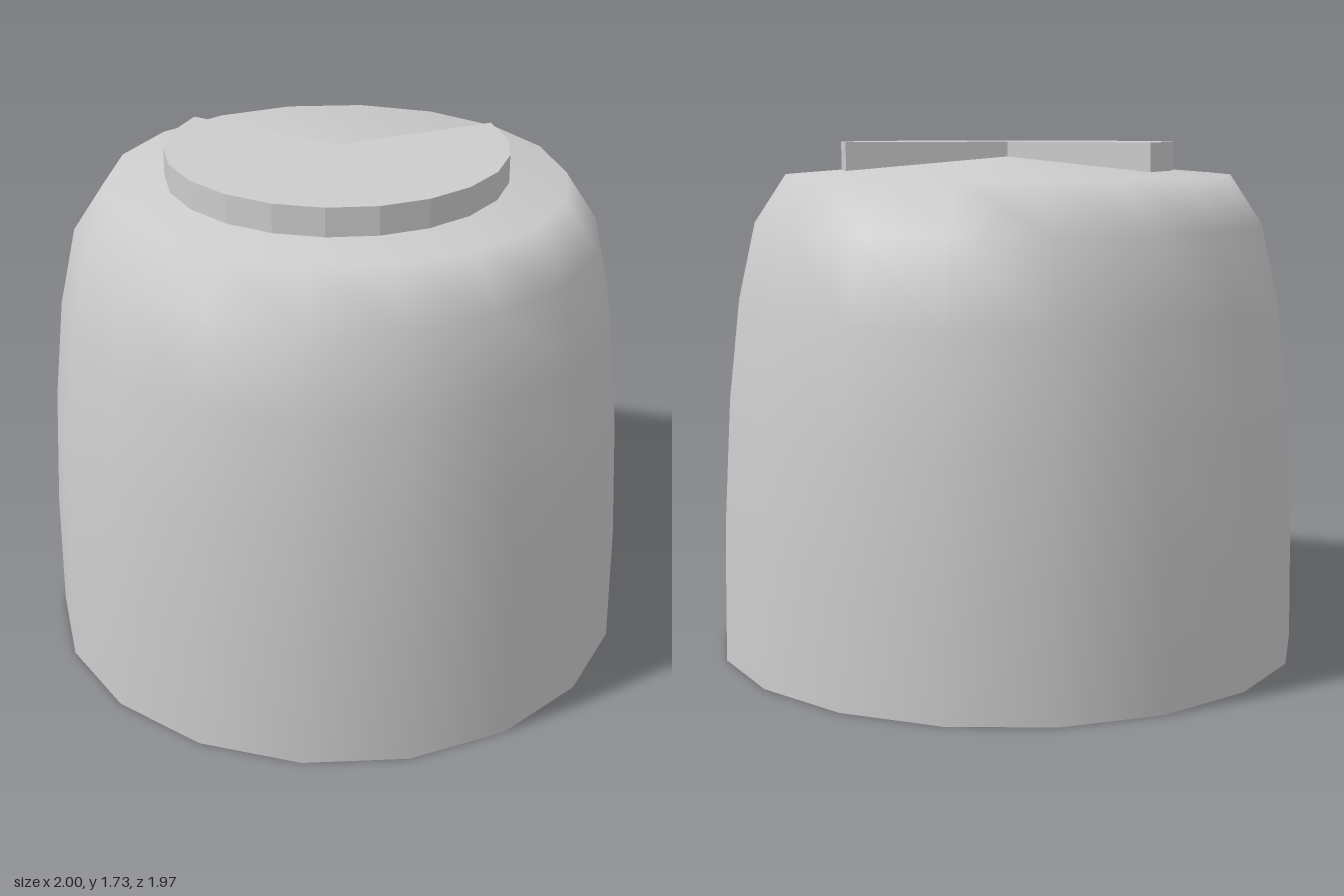
import * as THREE from 'three';

const SIDES = 18;

export function createModel() {
  const model = new THREE.Group();
  const grey = new THREE.MeshStandardMaterial({ color: 0xcccccc });
  grey.name = 'light grey';

  const add = (name, geometry) => {
    const mesh = new THREE.Mesh(geometry, grey);
    mesh.name = name;
    model.add(mesh);
  };

  // Smooth rounded body with a shallow cone on top
  const profile = [
    [1, 0], [0.994, 0.42], [0.97, 0.84], [0.93, 1.19], [0.87, 1.455], [0.76, 1.62], [0, 1.68],
  ].map(([r, y]) => new THREE.Vector2(r, y));
  add('body', new THREE.LatheGeometry(profile, SIDES, Math.PI / 2));

  // Flat underside
  add('base', new THREE.CircleGeometry(1, SIDES).rotateX(Math.PI / 2));

  // Raised sector plate: 65% of a disc, sweeping from the left side round the front
  const radius = 0.565, steps = 14, sweep = Math.PI * 2 * 0.65;
  const sector = new THREE.Shape().moveTo(0, 0);
  for (let i = 0; i <= steps; i++) {
    const a = (sweep * i) / steps;
    sector.lineTo(radius * Math.cos(a), radius * Math.sin(a));
  }
  sector.closePath();
  const plate = new THREE.ExtrudeGeometry(sector, { depth: 0.095, bevelEnabled: false });
  add('topSector', plate.rotateX(Math.PI / 2).translate(0, 1.73, 0));

  return model;
}
